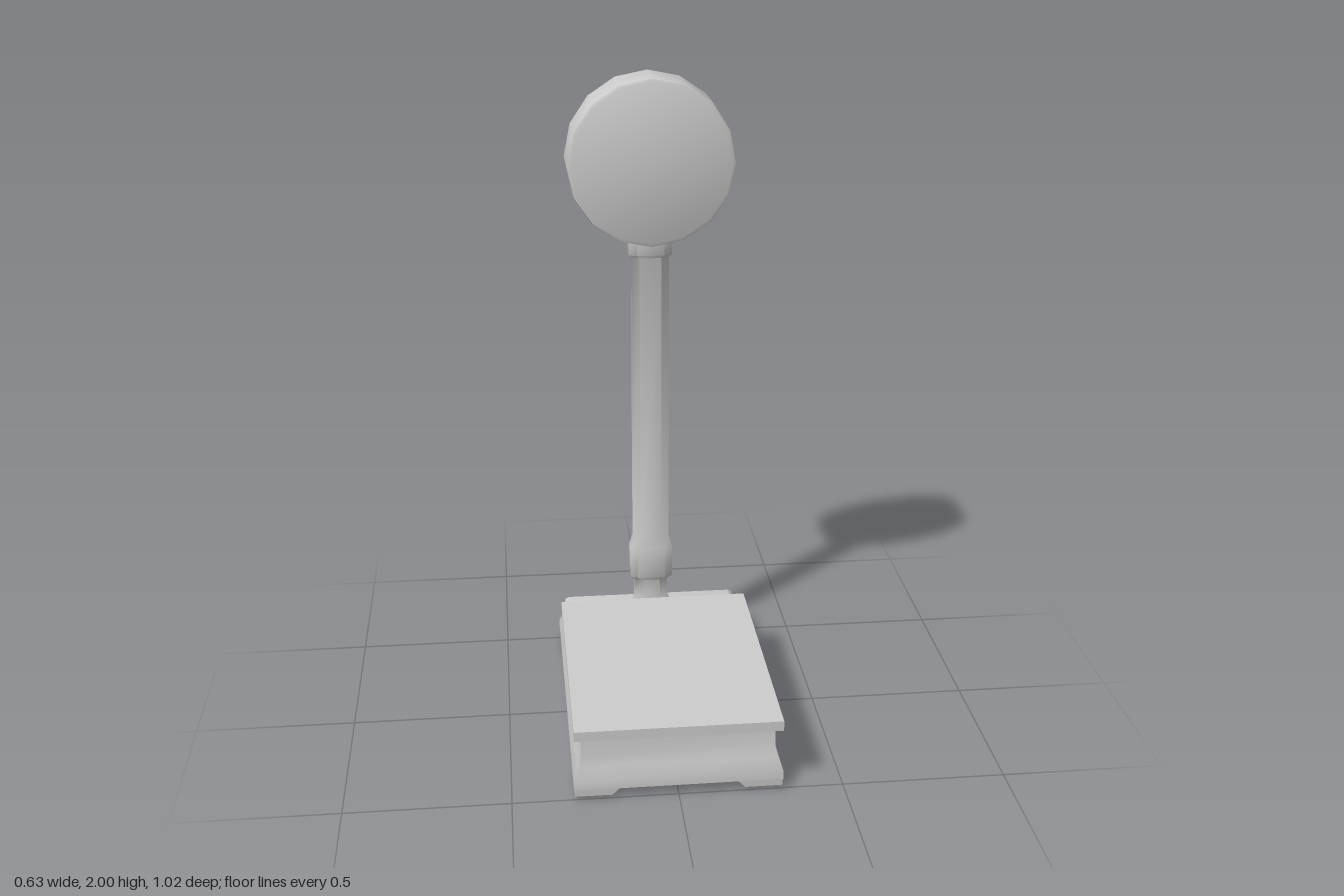
import * as THREE from 'three';
import { toCreasedNormals } from 'three/addons/utils/BufferGeometryUtils.js';

const material = new THREE.MeshStandardMaterial({ color: 0xcccccc });

function addMesh(parent, name, geometry) {
  const mesh = new THREE.Mesh(geometry, material);
  mesh.name = name;
  parent.add(mesh);
  return mesh;
}

// Closed skin over stacked convex rings, each counterclockwise seen from above
function loft(rings, crease) {
  const n = rings[0].length;
  const pos = [];
  const tri = (...pts) => pts.forEach((p) => pos.push(...p));
  for (let i = 0; i < rings.length - 1; i++) {
    for (let j = 0; j < n; j++) {
      const k = (j + 1) % n;
      const a = rings[i][j], b = rings[i][k], c = rings[i + 1][k], d = rings[i + 1][j];
      tri(a, b, c);
      tri(a, c, d);
    }
  }
  const low = rings[0], top = rings[rings.length - 1];
  for (let j = 1; j < n - 1; j++) {
    tri(low[0], low[j + 1], low[j]);
    tri(top[0], top[j], top[j + 1]);
  }
  const g = new THREE.BufferGeometry();
  g.setAttribute('position', new THREE.Float32BufferAttribute(pos, 3));
  return toCreasedNormals(g, crease);
}

// Rectangular ring; the front and back edges may sit at different heights
const rect = (hw, zFront, zBack, yFront, yBack = yFront) => [
  [hw, yFront, zFront], [hw, yBack, zBack], [-hw, yBack, zBack], [-hw, yFront, zFront],
];

// Rectangular ring with cut corners
const chamfered = (y, w, d, c, z) => [
  [w, y, z + d - c], [w, y, z - d + c], [w - 2 * c, y, z - d], [-w + 2 * c, y, z - d],
  [-w, y, z - d + c], [-w, y, z + d - c], [-w + 2 * c, y, z + d], [w - 2 * c, y, z + d],
];

export function createModel() {
  const model = new THREE.Group();
  model.name = 'platformScale';

  // Base: tall flared front block and lower sloping rear shelf
  const base = new THREE.Group();
  base.name = 'base';
  model.add(base);
  const split = -0.295;
  addMesh(base, 'baseFront', loft([
    rect(0.315, 0.51, split, 0.038),
    rect(0.315, 0.51, split, 0.065),
    rect(0.3, 0.498, split, 0.11),
    rect(0.292, 0.49, split, 0.14),
    rect(0.29, 0.488, split, 0.208),
  ], 0.6));
  addMesh(base, 'baseRear', loft([
    rect(0.315, split, -0.51, 0.038),
    rect(0.315, split, -0.51, 0.065),
    rect(0.3, split, -0.49, 0.11),
    rect(0.293, split, -0.478, 0.145, 0.165),
    rect(0.28, split, -0.468, 0.153, 0.176),
  ], 0.6));

  // Weighing plate
  const plate = addMesh(model, 'weighingPlate', new THREE.BoxGeometry(0.625, 0.032, 0.825));
  plate.position.set(0, 0.222, 0.0975);

  // Tapered corner feet with a diagonal inner side
  const foot = (y, outX, outZ, inX, inZ, cut) => [
    [outX, y, outZ], [outX, y, inZ], [outX - cut, y, inZ],
    [inX, y, outZ - cut], [inX, y, outZ],
  ];
  const lowFoot = foot(0, 0.3, 0.495, 0.215, 0.395, 0.05);
  const midFoot = foot(0.015, 0.312, 0.507, 0.2, 0.38, 0.055);
  const topFoot = foot(0.042, 0.314, 0.509, 0.175, 0.36, 0.06);
  for (const sx of [1, -1]) {
    for (const sz of [1, -1]) {
      const rings = [lowFoot, midFoot, topFoot].map((ring) => {
        const r = ring.map(([x, y, z]) => [x * sx, y, z * sz]);
        return sx * sz < 0 ? r.reverse() : r;
      });
      addMesh(model, (sz > 0 ? 'front' : 'rear') + (sx > 0 ? 'Left' : 'Right') + 'Foot',
        loft(rings, 0.6));
    }
  }

  // Column: flared root, lower sleeve, long shaft and top collar [y, half width, half depth]
  const columnProfile = [
    [0.14, 0.078, 0.026], [0.165, 0.074, 0.024], [0.21, 0.057, 0.022], [0.275, 0.055, 0.022],
    [0.29, 0.072, 0.032], [0.4, 0.072, 0.032], [0.44, 0.061, 0.024],
    [1.42, 0.061, 0.024], [1.43, 0.07, 0.031], [1.5, 0.07, 0.031],
  ];
  addMesh(model, 'column',
    loft(columnProfile.map(([y, w, d]) => chamfered(y, w, d, 0.013, -0.397)), 0.85));

  // Round dial housing with bevelled rims
  const dialProfile = [
    [0, -0.0875], [0.25, -0.0875], [0.26, -0.083], [0.265, -0.072],
    [0.265, 0.072], [0.262, 0.083], [0.252, 0.0875], [0, 0.0875],
  ].map(([r, y]) => new THREE.Vector2(r, y));
  const dialGeometry = new THREE.LatheGeometry(dialProfile, 16).rotateX(Math.PI / 2);
  const dial = addMesh(model, 'dialHousing', toCreasedNormals(dialGeometry, 0.5));
  dial.position.set(0, 1.735, -0.3975);

  return model;
}
